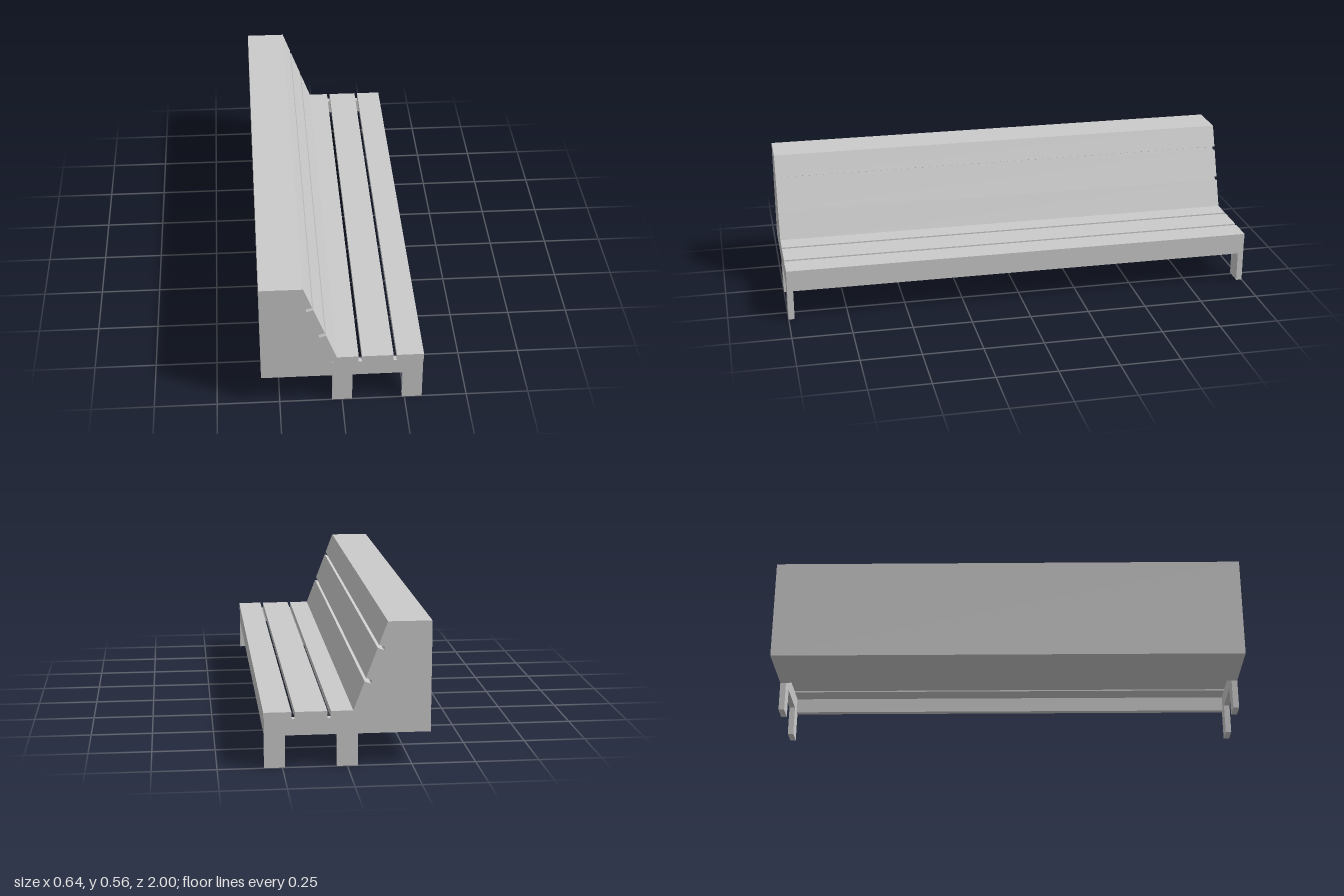
import * as THREE from 'three';

const LENGTH = 2;
const FRAME = 0.025; // thickness of the end frames

export function createModel() {
  const bench = new THREE.Group();
  bench.name = 'bench';
  const material = new THREE.MeshStandardMaterial({ color: 0xcccccc, flatShading: true });

  // Extrudes an x-y outline along z, centred on z
  function addProfile(name, points, depth, z = 0) {
    const shape = new THREE.Shape(points.map(([x, y]) => new THREE.Vector2(x, y)));
    const geometry = new THREE.ExtrudeGeometry(shape, { depth, bevelEnabled: false });
    geometry.translate(0, 0, z - depth / 2);
    const mesh = new THREE.Mesh(geometry, material);
    mesh.name = name;
    bench.add(mesh);
  }
  const rect = (x0, x1, y0, y1) => [[x0, y0], [x1, y0], [x1, y1], [x0, y1]];

  // Point on the sloping backrest: t down the slope, d inward from its face
  const slope = (t, d) => [-0.152 + 0.353 * t - 0.936 * d, 0.565 - 0.936 * t - 0.353 * d];
  const SLAT = 0.026;

  // Closed box behind the backrest
  addProfile('backBox', [
    [-0.322, 0.128], [-0.04, 0.128], [-0.04, 0.195], slope(0.375, SLAT),
    slope(0, SLAT), [-0.18, 0.565], [-0.322, 0.565],
  ], LENGTH);

  // Backrest slats, the top one cut level with the box
  addProfile('backSlatTop', [
    [-0.152, 0.565], [-0.18, 0.565], slope(0, SLAT), slope(0.096, SLAT), slope(0.096, 0),
  ], LENGTH);
  for (const [name, a, b] of [['backSlatMiddle', 0.109, 0.234], ['backSlatBottom', 0.248, 0.384]]) {
    addProfile(name, [slope(a, 0), slope(a, SLAT), slope(b, SLAT), slope(b, 0)], LENGTH);
  }

  // Seat slats
  for (const [name, x0, x1] of [
    ['seatSlatRear', -0.038, 0.064], ['seatSlatMiddle', 0.077, 0.202], ['seatSlatFront', 0.215, 0.322],
  ]) addProfile(name, rect(x0, x1, 0.193, 0.22), LENGTH);

  // Rail under the front edge of the seat
  addProfile('frontRail', rect(0.295, 0.32, 0.128, 0.193), LENGTH - 2 * FRAME);

  // End frames with two legs each
  for (const side of [-1, 1]) {
    addProfile(side > 0 ? 'endFrameFront' : 'endFrameBack', [
      [-0.04, 0], [0.04, 0], [0.04, 0.128], [0.24, 0.128], [0.24, 0],
      [0.32, 0], [0.32, 0.193], [-0.04, 0.193],
    ], FRAME, side * (LENGTH - FRAME) / 2);
  }
  return bench;
}
